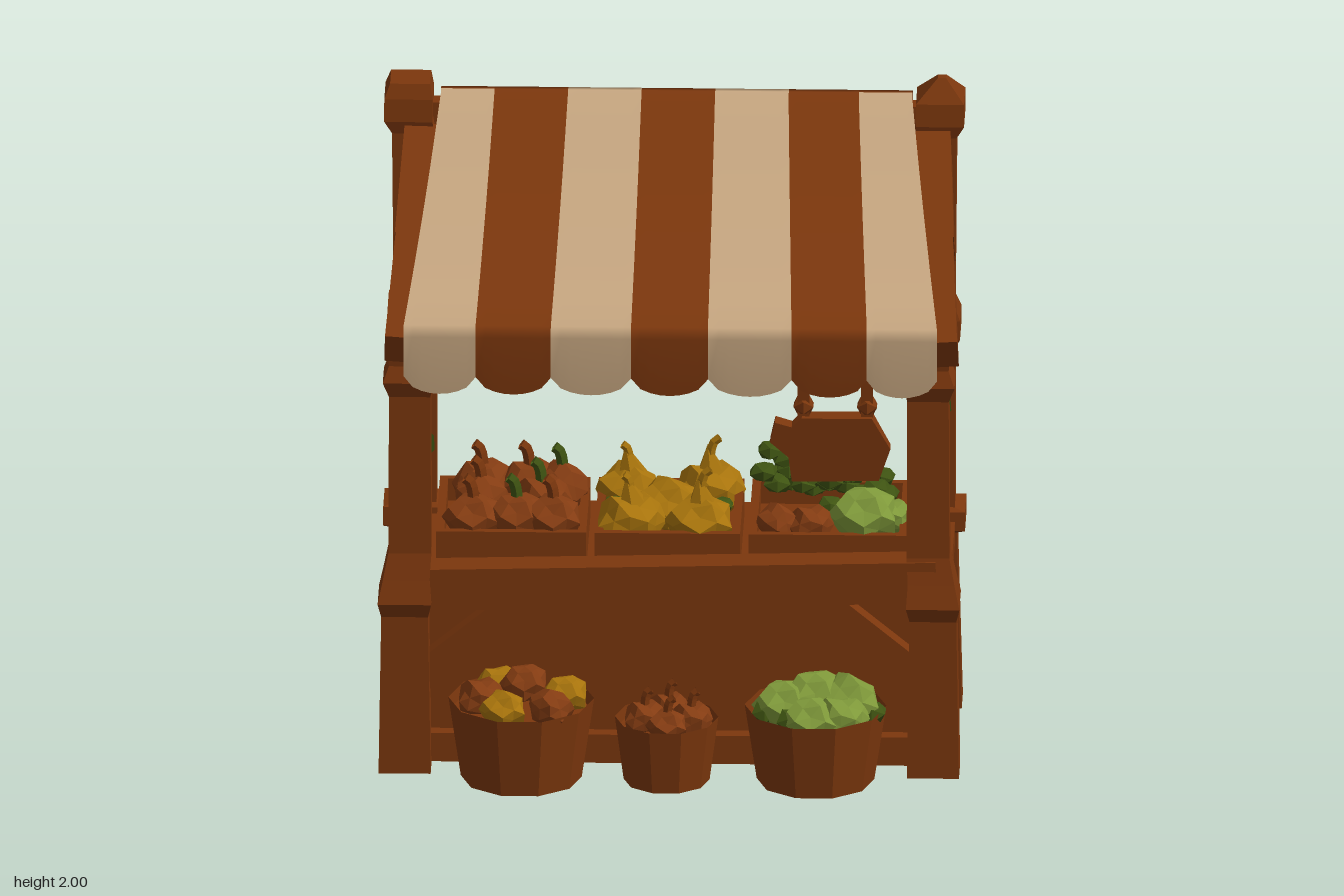
import * as THREE from 'three';

const mat = (name, color, flat = true) =>
  new THREE.MeshStandardMaterial({ name, color, flatShading: flat, side: THREE.DoubleSide });

export function createModel() {
  const root = new THREE.Group();
  root.name = 'marketStall';
  const wood = mat('wood brown', 0x7c370d);
  const clothBrown = mat('cloth brown', 0x7c370d, false);
  const clothCream = mat('cloth cream', 0xc6a680, false);
  const cream = mat('base cream', 0xc6a680);
  const yellow = mat('squash yellow', 0xa8740c);
  const leaf = mat('leaf green', 0x3f5412);
  const cabbage = mat('cabbage green', 0x7f993a);
  const red = mat('pumpkin brown', 0x843c12);

  let seed = 7;
  const rnd = () => (seed = (seed * 16807) % 2147483647) / 2147483647;
  const add = (name, geo, material, x = 0, y = 0, z = 0) => {
    const m = new THREE.Mesh(geo, material);
    m.name = name;
    m.position.set(x, y, z);
    root.add(m);
    return m;
  };
  const box = (name, x0, x1, y0, y1, z0, z1, material = wood) =>
    add(name, new THREE.BoxGeometry(x1 - x0, y1 - y0, z1 - z0), material,
      (x0 + x1) / 2, (y0 + y1) / 2, (z0 + z1) / 2);

  // Square post lofted through rows of [y, centre x, centre z, half width, half depth]
  const lean = -0.01;
  const post = (name, rows, side) => {
    const geo = new THREE.BoxGeometry(1, 1, 1, 1, rows.length - 1, 1);
    const p = geo.attributes.position;
    for (let i = 0; i < p.count; i++) {
      const [y, cx, cz, hw, hd] = rows[Math.round((p.getY(i) + 0.5) * (rows.length - 1))];
      p.setXYZ(i, side * cx + lean + 2 * hw * p.getX(i), y, cz + 2 * hd * p.getZ(i));
    }
    return add(name, geo, wood);
  };
  // Straight timber between two points
  const beam = (name, a, b, w, d) => {
    const A = new THREE.Vector3(...a), B = new THREE.Vector3(...b);
    const m = add(name, new THREE.BoxGeometry(w, A.distanceTo(B), d), wood);
    m.position.copy(A).lerp(B, 0.5);
    m.quaternion.setFromUnitVectors(new THREE.Vector3(0, 1, 0), B.sub(A).normalize());
    return m;
  };
  // Thin irregular moss patch
  const patch = (x, y, z, w, h) =>
    add('mossPatch', new THREE.CircleGeometry(1, 6, rnd() * 3), leaf, x, y, z).scale.set(w, h, 1);

  // Posts, rafters and braces, mirrored
  for (const s of [1, -1]) {
    post('backPost', [
      [0, 0.785, -0.41, 0.075, 0.065], [0.56, 0.78, -0.41, 0.065, 0.06],
      [0.57, 0.785, -0.415, 0.085, 0.08], [0.63, 0.785, -0.415, 0.085, 0.08],
      [0.64, 0.775, -0.41, 0.064, 0.058], [1.15, 0.775, -0.41, 0.064, 0.056],
      [1.18, 0.78, -0.41, 0.075, 0.075], [1.24, 0.78, -0.41, 0.075, 0.072],
      [1.28, 0.775, -0.41, 0.064, 0.058], [1.82, 0.78, -0.412, 0.064, 0.064],
      [1.86, 0.795, -0.417, 0.072, 0.08], [1.93, 0.795, -0.417, 0.072, 0.075],
      s > 0 ? [2.0, 0.8, -0.4, 0.012, 0.015] : [1.975, 0.79, -0.417, 0.06, 0.06],
    ], s);
    post('frontPost', [
      [0, 0.79, 0.18, 0.078, 0.07], [0.5, 0.79, 0.185, 0.07, 0.065],
      [0.55, 0.79, 0.195, 0.08, 0.085], [0.62, 0.785, 0.19, 0.07, 0.07],
      [0.7, 0.775, 0.185, 0.064, 0.055], [1.2, 0.775, 0.185, 0.062, 0.055],
      [1.25, 0.78, 0.19, 0.075, 0.07], [1.3, 0.775, 0.185, 0.062, 0.06],
      [1.38, 0.785, 0.19, 0.06, 0.065], [1.5, 0.785, 0.19, 0.055, 0.06],
    ], s);
    beam('rafterFront', [s * 0.815, 1.388, 0.335], [s * 0.79, 1.613, -0.06], 0.085, 0.115);
    beam('rafterBack', [s * 0.78, 1.588, -0.02], [s * 0.76, 1.803, -0.38], 0.115, 0.115);
    beam('roofBrace', [s * 0.77, 1.29, -0.38], [s * 0.785, 1.61, -0.12], 0.07, 0.085);
    beam('cornerBrace', [s * 0.76, 0.28, 0.16], [s * 0.42, 0.56, 0.16], 0.09, 0.06);
    box('sideRail', s * 0.805 - 0.025, s * 0.805 + 0.025, 0.53, 0.6, -0.45, 0.18);
    box('valanceEnd', s * 0.782 - 0.01, s * 0.782 + 0.01, 1.3, 1.45, 0.325, 0.352);

    // Moss on the sheltered faces of the posts
    const px = s * 0.775 + lean;
    for (const [dx, y] of [[-0.035, 0.82], [0.03, 0.96], [-0.03, 1.1], [0.03, 1.4]]) {
      patch(px + dx * s, y, 0.122, 0.026, 0.045);
      patch(px + dx * s, y + 0.01, -0.348, 0.026, 0.045);
    }
  }

  // Counter body with pale underside
  box('counterBody', -0.78, 0.78, 0.02, 0.57, -0.455, 0.125);
  box('counterUnderside', -0.775, 0.775, 0.014, 0.02, -0.45, 0.12, cream);
  box('counterTop', -0.8, 0.8, 0.56, 0.61, -0.46, 0.2);
  box('frontSill', -0.78, 0.78, 0.01, 0.1, 0.12, 0.17);
  const board = box('frontBoard', -0.79, 0.79, 0.54, 0.67, 0.15, 0.25);
  board.rotation.z = 0.025;
  box('backRail', -0.74, 0.74, 1.82, 1.9, -0.46, -0.4);

  // Open crates on the counter
  const crates = [[-0.71, -0.26], [-0.235, 0.2], [0.225, 0.7]];
  for (const [a, b] of crates) {
    box('crateFloor', a, b, 0.61, 0.66, -0.34, 0.13);
    for (const x of [a, b - 0.025]) box('crateSide', x, x + 0.025, 0.61, 0.73, -0.34, 0.13);
    for (const z of [-0.34, 0.105]) box('crateEnd', a, b, 0.61, 0.73, z, z + 0.025);
  }

  // Striped awning: sagging slope with scalloped valance, and a flap over the back rail
  const slope = [[-0.45, 1.927], [-0.42, 1.922], [-0.31, 1.845], [-0.2, 1.77], [-0.07, 1.69],
    [0.13, 1.58], [0.26, 1.515], [0.35, 1.472], [0.368, 1.44], [0.355, 1.31]];
  const flap = [[-0.478, 1.845], [-0.475, 1.925], [-0.45, 1.927]];
  const topEdges = [-0.71, -0.55, -0.33, -0.11, 0.11, 0.33, 0.54, 0.7];
  const lowEdges = [-0.8, -0.585, -0.36, -0.12, 0.11, 0.36, 0.585, 0.795];
  const cols = 8;
  const stripe = (name, k, profile, depth, material) => {
    const last = profile.length - 1;
    const geo = new THREE.PlaneGeometry(1, 1, cols, last);
    const p = geo.attributes.position;
    for (let i = 0; i < p.count; i++) {
      const t = (i % (cols + 1)) / cols, r = Math.floor(i / (cols + 1));
      const [z, y] = profile[r];
      const f = THREE.MathUtils.clamp((z + 0.42) / 0.77, 0, 1);
      const x0 = THREE.MathUtils.lerp(topEdges[k], lowEdges[k], f);
      const x1 = THREE.MathUtils.lerp(topEdges[k + 1], lowEdges[k + 1], f);
      const scallop = r === last ? depth * Math.sqrt(Math.sin(Math.PI * Math.min(t, 0.9999))) : 0;
      p.setXYZ(i, x0 + (x1 - x0) * t, y - scallop, z);
    }
    geo.computeVertexNormals();
    add(name, geo, material);
  };
  for (let k = 0; k < 7; k++) {
    stripe('awningStripe', k, slope, 0.055, k % 2 ? clothBrown : clothCream);
    stripe('awningBackFlap', k, flap, 0, k === 2 || k === 4 ? clothCream : clothBrown);
  }

  // Hanging sign board on two straps
  const outline = [[0.36, 0.97], [0.62, 0.975], [0.655, 1.08], [0.6, 1.18], [0.39, 1.18],
    [0.36, 1.15], [0.31, 1.165], [0.295, 1.1], [0.35, 1.05]].map(([x, y]) => new THREE.Vector2(x, y));
  const signGeo = new THREE.ExtrudeGeometry(new THREE.Shape(outline), { depth: 1, bevelEnabled: false });
  const sp = signGeo.attributes.position;
  for (let i = 0; i < sp.count; i++) // wedge thinner at the bottom
    sp.setZ(i, 0.305 + (sp.getZ(i) - 0.5) * (0.02 + 0.2 * (sp.getY(i) - 0.97)));
  add('hangingSign', signGeo, wood);
  for (const x of [0.395, 0.585]) {
    beam('signStrap', [x, 1.16, 0.3], [x, 1.46, 0.32], 0.035, 0.03);
    add('strapKnot', new THREE.IcosahedronGeometry(0.035, 0), wood, x, 1.21, 0.3);
  }

  // Lumpy faceted produce
  const lump = (name, material, x, y, z, r, sy = 0.85, detail = 1) => {
    const geo = new THREE.IcosahedronGeometry(r, detail), p = geo.attributes.position;
    const a = rnd() * 9, v = new THREE.Vector3();
    for (let i = 0; i < p.count; i++) {
      v.fromBufferAttribute(p, i);
      const k = 1 + 0.13 * Math.sin((v.x * 5 + v.y * 3 - v.z * 4) / r + a);
      p.setXYZ(i, v.x * k, v.y * k * sy, v.z * k);
    }
    return add(name, geo, material, x, y, z);
  };
  const stem = (name, material, x, y, z, h, r) => {
    const path = new THREE.CatmullRomCurve3([[0, 0], [0.1, 0.5], [0.35, 0.85], [0.75, 1]]
      .map(([u, v]) => new THREE.Vector3(x + u * h * (x > -0.1 ? 0.5 : -0.5), y + v * h, z)));
    add(name, new THREE.TubeGeometry(path, 4, r, 5), material);
  };

  // Pumpkins in the first crate
  [[-0.6, 0.03], [-0.47, 0.02], [-0.36, 0.03], [-0.58, -0.13], [-0.4, -0.12],
    [-0.58, -0.26], [-0.44, -0.26], [-0.34, -0.24]].forEach(([x, z], i) => {
    lump('pumpkin', red, x, 0.74, z, 0.085);
    stem('pumpkinStem', i % 3 === 1 ? leaf : wood, x, 0.8, z, 0.065, 0.018);
  });
  // Yellow squashes in the second crate
  [[-0.13, 0.02], [0.08, 0.02], [-0.02, -0.12], [-0.14, -0.24], [0.1, -0.25]].forEach(([x, z], i) => {
    lump('squash', yellow, x, 0.73, z, 0.1, 0.8);
    if (i === 2) return;
    const neck = add('squashNeck', new THREE.ConeGeometry(0.065, 0.13, 6), yellow, x, 0.81, z);
    neck.rotation.z = x < 0 ? 0.2 : 0.1;
    stem('squashStem', yellow, x, 0.82, z, x < 0 ? 0.055 : 0.075, 0.014);
  });
  for (const [x, z] of [[-0.18, -0.1], [0.14, -0.1]]) lump('squashLeaf', leaf, x, 0.735, z, 0.04, 0.6, 0);

  // Greens in the third crate
  for (let i = 0; i < 40; i++) {
    const x = 0.25 + rnd() * 0.38;
    lump('leafyGreen', leaf, x, 0.72 + rnd() * (x < 0.5 ? 0.13 : 0.08), -0.33 + rnd() * 0.25, 0.045, 0.7, 0);
  }
  for (const [x, z] of [[0.31, 0.04], [0.41, 0.05]]) lump('tomato', red, x, 0.735, z, 0.065);
  lump('cabbage', cabbage, 0.57, 0.755, 0.02, 0.1);
  lump('cabbage', cabbage, 0.65, 0.735, -0.02, 0.06);

  // Baskets in front, each filled with a mound
  for (const [x, z, r, h] of [[-0.45, 0.285, 0.218, 0.25], [-0.015, 0.3, 0.155, 0.2], [0.43, 0.285, 0.212, 0.235]]) {
    add('basket', new THREE.CylinderGeometry(r, r * 0.83, h, 10, 1, true, 0.314), wood, x, h / 2 + 0.01, z);
    add('basketFloor', new THREE.CylinderGeometry(r * 0.83, r * 0.83, 0.01, 10, 1, false, 0.314), wood, x, 0.015, z);
    add('basketFilling', new THREE.CylinderGeometry(r * 0.94, r * 0.9, 0.02, 10, 1, false, 0.314), wood, x, h - 0.03, z);
  }
  [[-0.57, 0.3], [-0.5, 0.4], [-0.36, 0.39], [-0.32, 0.27], [-0.44, 0.27], [-0.52, 0.2]].forEach(([x, z], i) =>
    lump('fruit', i % 2 ? yellow : red, x, i === 4 ? 0.3 : 0.265, z, 0.068));
  for (const [x, z] of [[-0.08, 0.31], [0.06, 0.32], [-0.01, 0.38], [-0.01, 0.24]]) {
    lump('onion', red, x, 0.21, z, 0.06);
    stem('onionStem', wood, x, 0.25, z, 0.05, 0.014);
  }
  for (const [x, y, z, r] of [[0.34, 0.25, 0.3, 0.09], [0.43, 0.265, 0.27, 0.095], [0.53, 0.26, 0.29, 0.095],
    [0.42, 0.235, 0.39, 0.085], [0.51, 0.235, 0.37, 0.08]])
    lump('cabbage', cabbage, x, y, z, r);
  for (const [x, z] of [[0.28, 0.33], [0.36, 0.4], [0.6, 0.32]]) lump('cabbageLeaf', leaf, x, 0.24, z, 0.045, 0.8, 0);

  return root;
}
